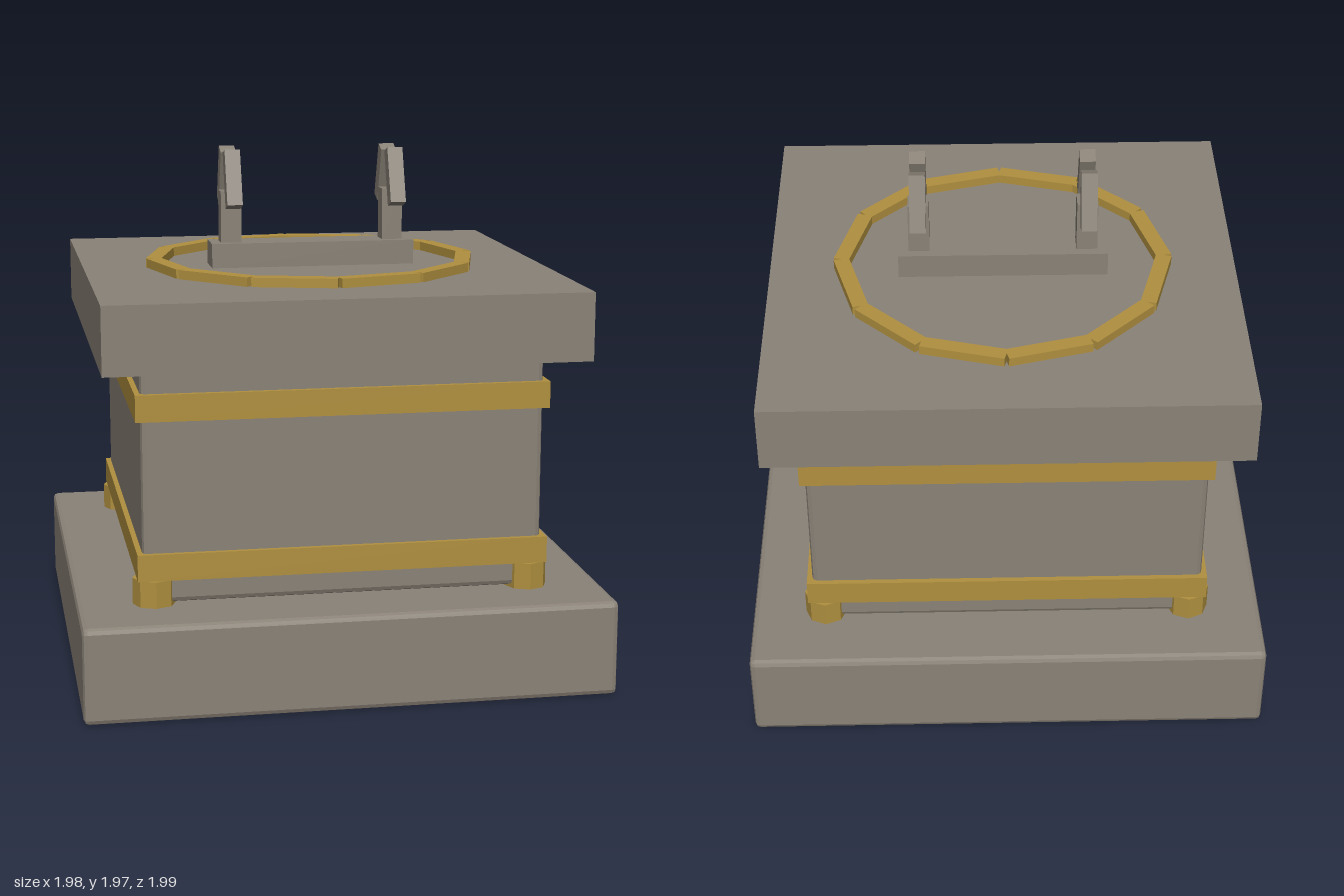
import * as THREE from 'three';
import { RoundedBoxGeometry } from 'three/addons/geometries/RoundedBoxGeometry.js';

export function createModel() {
  const model = new THREE.Group();
  model.name = 'stonePedestal';

  const stone = new THREE.MeshStandardMaterial({ color: 0x8a8277 });
  stone.name = 'stone';
  const gold = new THREE.MeshStandardMaterial({ color: 0xb0903f });
  gold.name = 'gold';

  function add(name, geometry, material, x, y, z, parent = model) {
    const mesh = new THREE.Mesh(geometry, material);
    mesh.name = name;
    mesh.position.set(x, y, z);
    parent.add(mesh);
    return mesh;
  }

  const box = (w, h, d) => new THREE.BoxGeometry(w, h, d);

  // Block with one flat chamfer along every edge
  function chamferedBox(w, h, d, r) {
    const g = new RoundedBoxGeometry(w, h, d, 1, r);
    g.computeVertexNormals();
    return g;
  }

  // Stone blocks: plinth, body and cap
  add('plinth', chamferedBox(1.98, 0.36, 1.985, 0.02), stone, 0, 0.18, 0);
  add('body', chamferedBox(1.5, 0.88, 1.5, 0.02), stone, 0, 0.81, 0);
  add('capSlab', box(1.79, 0.255, 1.79), stone, 0, 1.3775, 0);

  // Metal bands around the body
  add('lowerBand', box(1.54, 0.1, 1.54), gold, 0, 0.51, 0);
  add('upperBand', box(1.54, 0.1, 1.54), gold, 0, 1.105, 0);

  // Eight-sided feet under the lower band
  const footGeometry = new THREE.CylinderGeometry(0.08, 0.08, 0.1, 8).toNonIndexed();
  footGeometry.computeVertexNormals();
  for (const x of [-1, 1]) {
    for (const z of [-1, 1]) add('foot', footGeometry, gold, x * 0.705, 0.41, z * 0.705);
  }

  // Ring of twelve straight bars on the cap
  const ring = new THREE.Group();
  ring.name = 'ring';
  model.add(ring);
  const barGeometry = box(0.32, 0.035, 0.06);
  for (let i = 0; i < 12; i++) {
    const a = ((i + 0.5) / 12) * Math.PI * 2;
    const bar = add('ringBar', barGeometry, gold, Math.sin(a) * 0.6, 1.5225, Math.cos(a) * 0.6, ring);
    bar.rotation.y = a;
  }

  // Cradle: a bar carrying two posts, each topped by a pair of leaning prongs
  add('cradleBar', box(0.8, 0.1, 0.15), stone, 0, 1.55, 0);
  for (const side of [-1, 1]) {
    const x = side * 0.32;
    add('post', box(0.08, 0.2, 0.08), stone, x, 1.7, 0);
    for (const s of [-1, 1]) {
      const prong = add('prong', box(0.06, 0.22, 0.06), stone, x, 1.853, s * 0.095);
      prong.rotation.x = -s * 0.35;
    }
  }

  return model;
}
